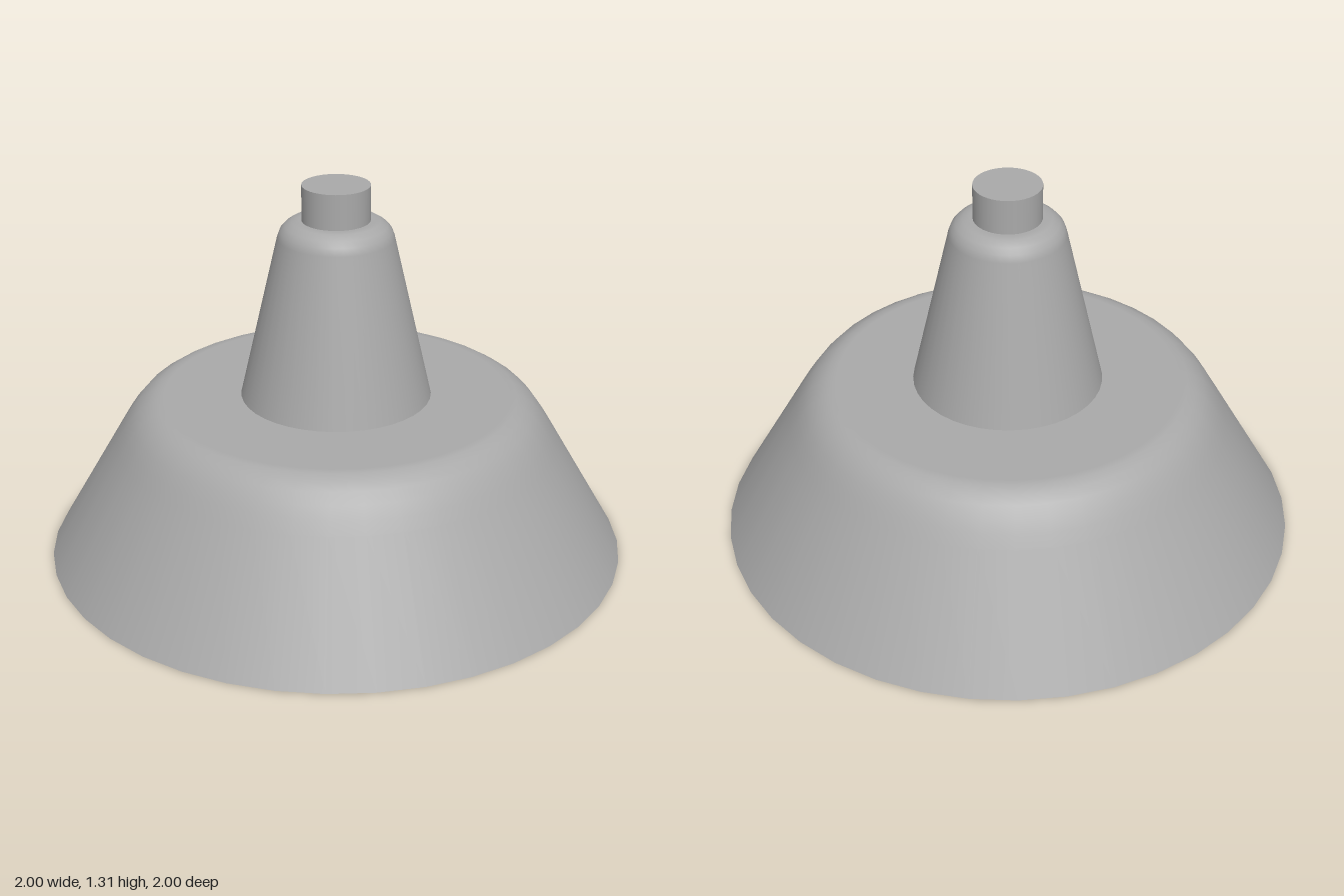
import * as THREE from 'three';

const SIDES = 40;

export function createModel() {
  const model = new THREE.Group();
  model.name = 'pendantLamp';

  const enamel = new THREE.MeshStandardMaterial({ color: 0xa9a9a9 });
  enamel.name = 'grey enamel';

  // Each smooth run of the profile is its own lathe, so joints between runs stay sharp.
  function turned(name, ...runs) {
    const part = new THREE.Group();
    part.name = name;
    runs.forEach((run, i) => {
      const points = run.map(([r, y]) => new THREE.Vector2(r, y));
      const mesh = new THREE.Mesh(new THREE.LatheGeometry(points, SIDES), enamel);
      mesh.name = `${name}Surface${i + 1}`;
      part.add(mesh);
    });
    model.add(part);
  }

  // Wide hollow shade: ceiling, inner wall, flat rim, outer wall with rounded shoulder
  turned('shade',
    [[0, 0.49], [0.67, 0.49]],
    [[0.67, 0.49], [0.942, 0]],
    [[0.942, 0], [1, 0]],
    [[1, 0], [0.76, 0.415], [0.735, 0.457], [0.71, 0.495], [0.68, 0.53],
      [0.65, 0.55], [0.622, 0.564], [0.595, 0.566], [0, 0.568]]);

  // Tapered neck with a softened top edge
  turned('neck',
    [[0.327, 0.565], [0.197, 1.13], [0.188, 1.155], [0.172, 1.173], [0.148, 1.188], [0.125, 1.19], [0, 1.19]]);

  // Short cable collar
  turned('collar',
    [[0.115, 1.19], [0.115, 1.312]],
    [[0.115, 1.312], [0, 1.312]]);

  return model;
}
